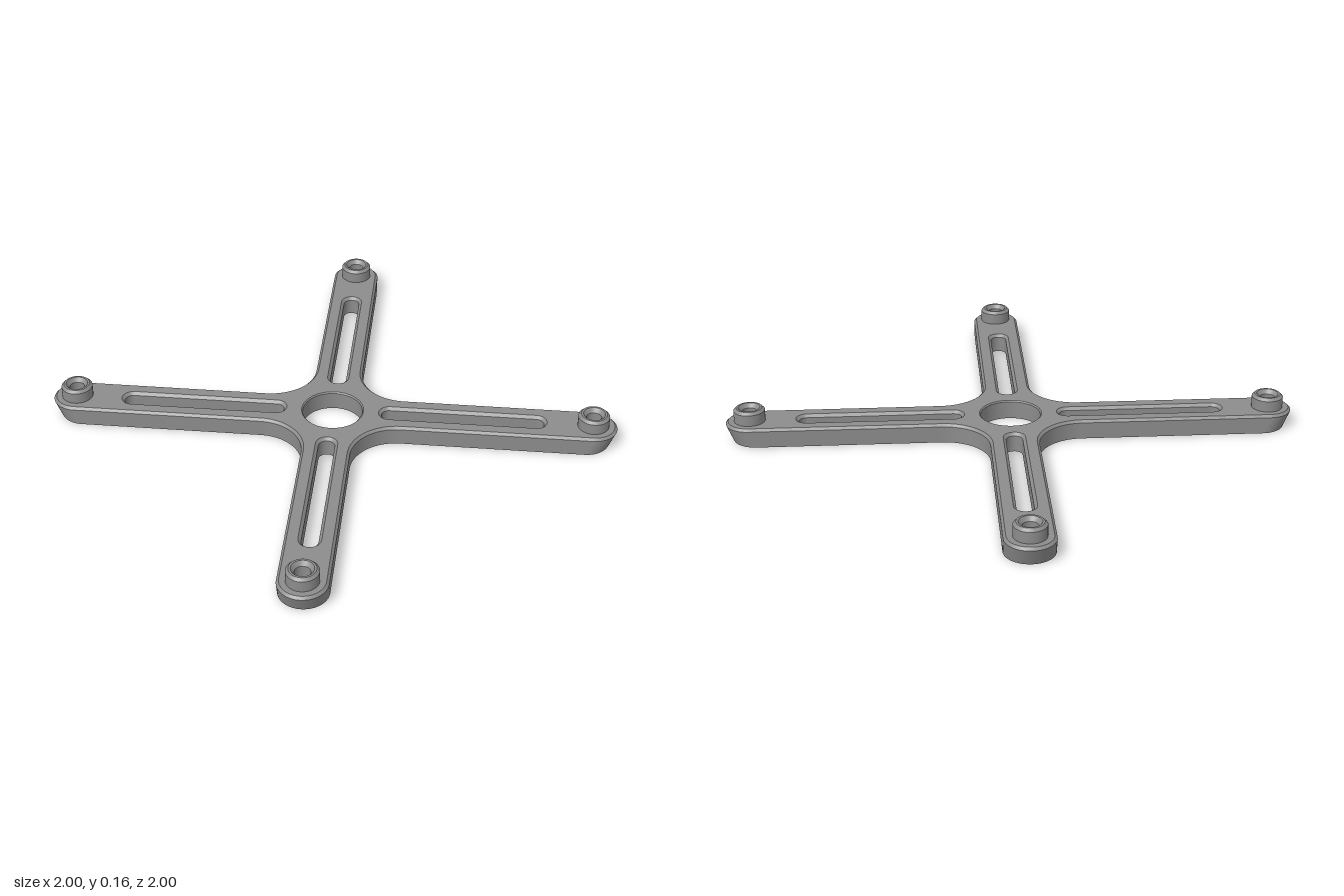
import * as THREE from 'three';
import { mergeGeometries } from 'three/addons/utils/BufferGeometryUtils.js';

const TIP = 0.885, ARM = 0.115, FILLET = 0.223, FILLET_C = 0.478;
const HEIGHT = 0.093, EDGE = 0.081;

// Points on an arc in plan (x right, y towards the back)
function arc(cx, cy, r, from, to, n) {
  return Array.from({ length: n + 1 }, (_, i) => {
    const a = from + (to - from) * i / n;
    return new THREE.Vector2(cx + r * Math.cos(a), cy + r * Math.sin(a));
  });
}
const circle = (r, cx = 0, cy = 0, n = 40) => arc(cx, cy, r, 0, Math.PI * 2, n).slice(0, n);

// Cross outline: four round tips joined by concave fillets
function crossOutline(inset, shift = 0) {
  const P = Math.PI, t = TIP - shift, origin = new THREE.Vector2();
  const quarter = [
    ...arc(t, t, ARM - inset, -P / 4, 3 * P / 4, 24),
    ...arc(0, FILLET_C, FILLET + inset, -P / 4, -3 * P / 4, 20),
  ];
  return [0, 1, 2, 3].flatMap(k => quarter.map(p => p.clone().rotateAround(origin, k * P / 2)));
}

// Rounded slot along one arm
function slot(r, angle) {
  const P = Math.PI, origin = new THREE.Vector2();
  return [
    ...arc(0.98, 0, r, -P / 2, P / 2, 12),
    ...arc(0.275, 0, r, P / 2, 3 * P / 2, 12),
  ].map(p => p.rotateAround(origin, angle));
}

// Wall through [loop, height] rings: upwards for outsides, downwards for holes
function wall(rings) {
  const bands = [];
  for (let k = 0; k + 1 < rings.length; k++) {
    const n = rings[k][0].length, pos = [], idx = [];
    for (const [loop, y] of [rings[k], rings[k + 1]])
      for (const p of loop) pos.push(p.x, y, -p.y);
    for (let i = 0; i < n; i++) {
      const j = (i + 1) % n;
      idx.push(i, j, n + j, i, n + j, n + i);
    }
    const g = new THREE.BufferGeometry();
    g.setAttribute('position', new THREE.Float32BufferAttribute(pos, 3));
    g.setIndex(idx);
    g.computeVertexNormals();
    bands.push(g);
  }
  return mergeGeometries(bands);
}

// Flat face with holes, facing up or down
function cap(outline, holes, y, up) {
  const shape = new THREE.Shape(outline);
  shape.holes = holes.map(h => new THREE.Path(h));
  const g = new THREE.ShapeGeometry(shape);
  g.rotateX(up ? -Math.PI / 2 : Math.PI / 2);
  g.translate(0, y, 0);
  g.deleteAttribute('uv');
  return g;
}

export function createModel() {
  const group = new THREE.Group();
  const metal = new THREE.MeshStandardMaterial({ color: 0x8c8c8c });
  metal.name = 'grey metal';
  const add = (name, geometry, parent = group) => {
    const mesh = new THREE.Mesh(geometry, metal);
    mesh.name = name;
    parent.add(mesh);
    return mesh;
  };

  const angles = [1, 3, 5, 7].map(k => k * Math.PI / 4);
  const tips = angles.map(a => [TIP * Math.SQRT2 * Math.cos(a), TIP * Math.SQRT2 * Math.sin(a)]);
  const holes = (hub, slotR, tipR) => [
    circle(hub, 0, 0, 64),
    ...angles.map(a => slot(slotR, a)),
    ...tips.map(([x, y]) => circle(tipR, x, y)),
  ];

  // Cross frame with undercut tips and a bevelled top edge
  const frame = new THREE.Group();
  frame.name = 'crossFrame';
  group.add(frame);
  add('frameTop', cap(crossOutline(0.012), holes(0.15, 0.053, 0.068), HEIGHT, true), frame);
  add('frameBottom', cap(crossOutline(0, 0.024), holes(0.144, 0.039, 0.06), 0, false), frame);
  add('frameSide', wall([
    [crossOutline(0, 0.024), 0], [crossOutline(0), EDGE], [crossOutline(0.012), HEIGHT],
  ]), frame);
  add('hubBore', wall([
    [circle(0.15, 0, 0, 64), HEIGHT],
    [circle(0.144, 0, 0, 64), HEIGHT - 0.006],
    [circle(0.144, 0, 0, 64), 0],
  ]), frame);
  for (const a of angles)
    add('armSlot', wall([[slot(0.053, a), HEIGHT], [slot(0.039, a), HEIGHT - 0.014], [slot(0.039, a), 0]]), frame);

  // Mounting bosses: collar, bevel, countersink, bore and lower recess
  const profile = [
    [0.075, 0.088], [0.075, 0.147], [0.062, 0.16], [0.052, 0.16],
    [0.036, 0.14], [0.036, 0.045], [0.06, 0.04], [0.06, 0],
  ];
  const bossGeometry = wall(profile.map(([r, y]) => [circle(r), y]));
  for (const [x, y] of tips) add('mountingBoss', bossGeometry).position.set(x, 0, -y);

  return group;
}
